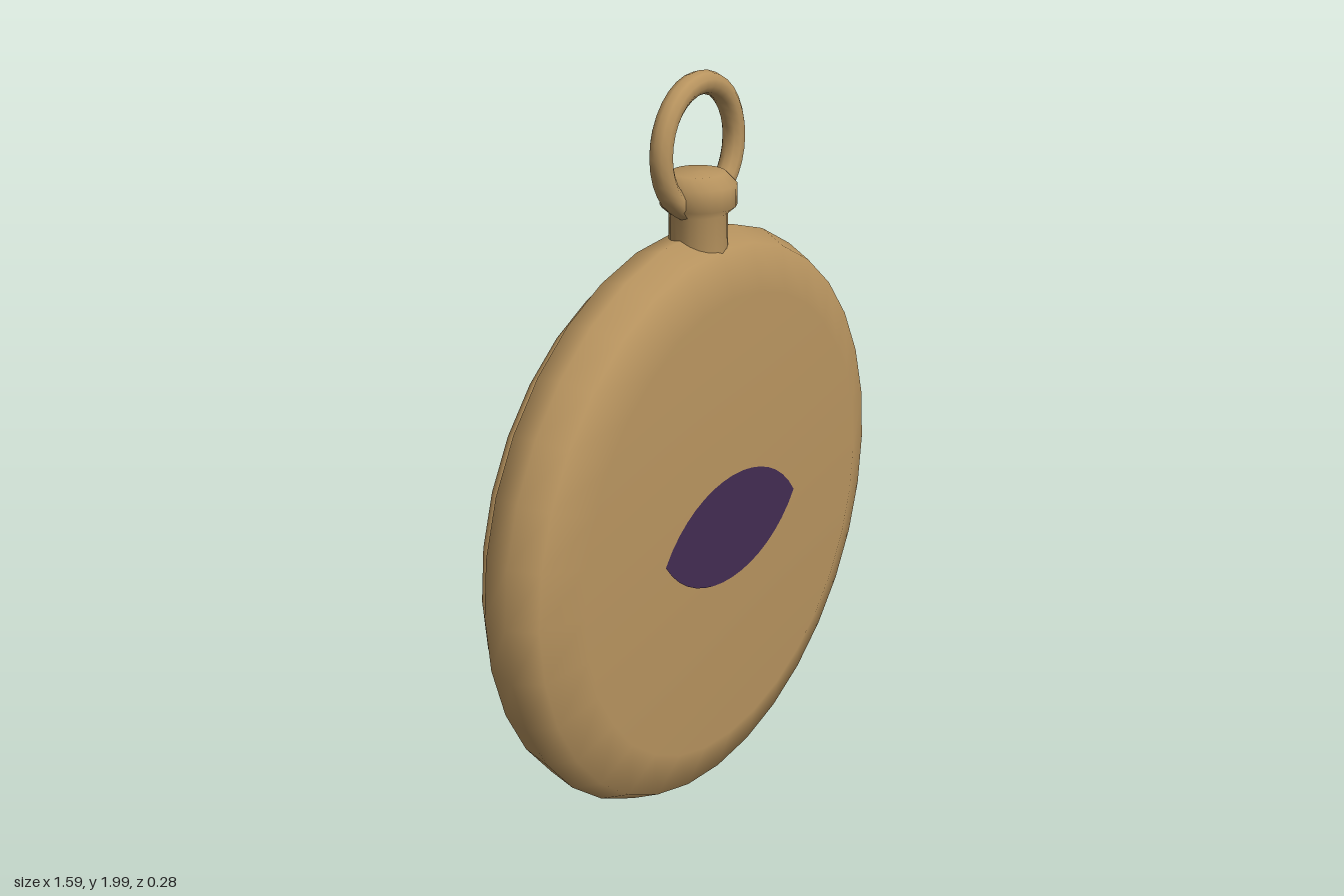
import * as THREE from 'three';

const gold = new THREE.MeshStandardMaterial({ color: 0xb8945f });
const purple = new THREE.MeshStandardMaterial({ color: 0x432c52, side: THREE.DoubleSide });
const dialGrey = new THREE.MeshStandardMaterial({ color: 0xaaa39d });

function add(parent, name, geometry, material) {
  const mesh = new THREE.Mesh(geometry, material);
  mesh.name = name;
  parent.add(mesh);
  return mesh;
}

const points = (list) => list.map(([a, b]) => new THREE.Vector2(a, b));

// Turned part along z, profile as [radius, z] running from the back to the front
const turned = (profile, segments) =>
  new THREE.LatheGeometry(points(profile), segments).rotateX(Math.PI / 2);

// Pointed hand with a short tail, pointing up
function handGeometry(length) {
  const outline = [[-0.022, -0.075], [0.022, -0.075], [0.03, length - 0.08], [0.015, length - 0.025],
    [0, length], [-0.015, length - 0.025], [-0.03, length - 0.08]];
  return new THREE.ExtrudeGeometry(new THREE.Shape(points(outline)), { depth: 0.006, bevelEnabled: false });
}

export function createModel() {
  const watch = new THREE.Group();
  watch.name = 'pocketWatch';

  const body = new THREE.Group();
  body.name = 'body';
  body.position.y = 0.8;
  watch.add(body);

  // Case and bezel
  add(body, 'case', turned([[0.6, -0.07], [0.73, -0.075], [0.775, -0.055], [0.793, 0.025],
    [0.757, 0.1], [0.635, 0.14], [0, 0.14]], 32), gold);
  add(body, 'bezel', turned([[0.63, -0.085], [0.65, -0.115], [0.68, -0.12], [0.71, -0.12],
    [0.742, -0.08], [0.7, -0.065]], 32), gold);

  // Lens-shaped emblem on the front cover
  const lens = new THREE.Shape();
  lens.moveTo(-0.305, 0);
  lens.bezierCurveTo(-0.17, -0.2, 0.17, -0.2, 0.305, 0);
  lens.bezierCurveTo(0.17, 0.2, -0.17, 0.2, -0.305, 0);
  add(body, 'frontEmblem', new THREE.ShapeGeometry(lens, 16), purple).position.z = 0.142;

  // Dial side, turned to the back
  const face = new THREE.Group();
  face.name = 'dialSide';
  face.rotation.y = Math.PI;
  body.add(face);
  add(face, 'dial', new THREE.CircleGeometry(0.64, 32), dialGrey).position.z = 0.087;

  // Twelve diamond hour markers
  const diamond = new THREE.Shape(points([[0, 0.49], [0.025, 0.54], [0, 0.59], [-0.025, 0.54]]));
  const markerGeometry = new THREE.ShapeGeometry(diamond);
  for (let i = 0; i < 12; i++) {
    const marker = add(face, 'hourMarker', markerGeometry, purple);
    marker.position.z = 0.09;
    marker.rotation.z = (i * Math.PI) / 6;
  }

  // Hands and centre pin
  const hands = [['hourHand', 0.35, 40.5, 0.095], ['minuteHand', 0.48, -58, 0.104]];
  for (const [name, length, degrees, z] of hands) {
    const hand = add(face, name, handGeometry(length), purple);
    hand.position.z = z;
    hand.rotation.z = THREE.MathUtils.degToRad(degrees);
  }
  add(body, 'centrePin', turned([[0, -0.142], [0.045, -0.141], [0.05, -0.125], [0.03, -0.087]], 16), gold);

  // Crown on its stem
  const crownProfile = points([[0.075, 1.5], [0.075, 1.645], [0.098, 1.665], [0.098, 1.72],
    [0.07, 1.748], [0, 1.75]]);
  add(watch, 'crown', new THREE.LatheGeometry(crownProfile, 20), gold).position.z = 0.028;

  // Hanging ring
  add(watch, 'ring', new THREE.TorusGeometry(0.158, 0.03, 10, 32), gold).position.set(0, 1.812, 0.028);

  return watch;
}
